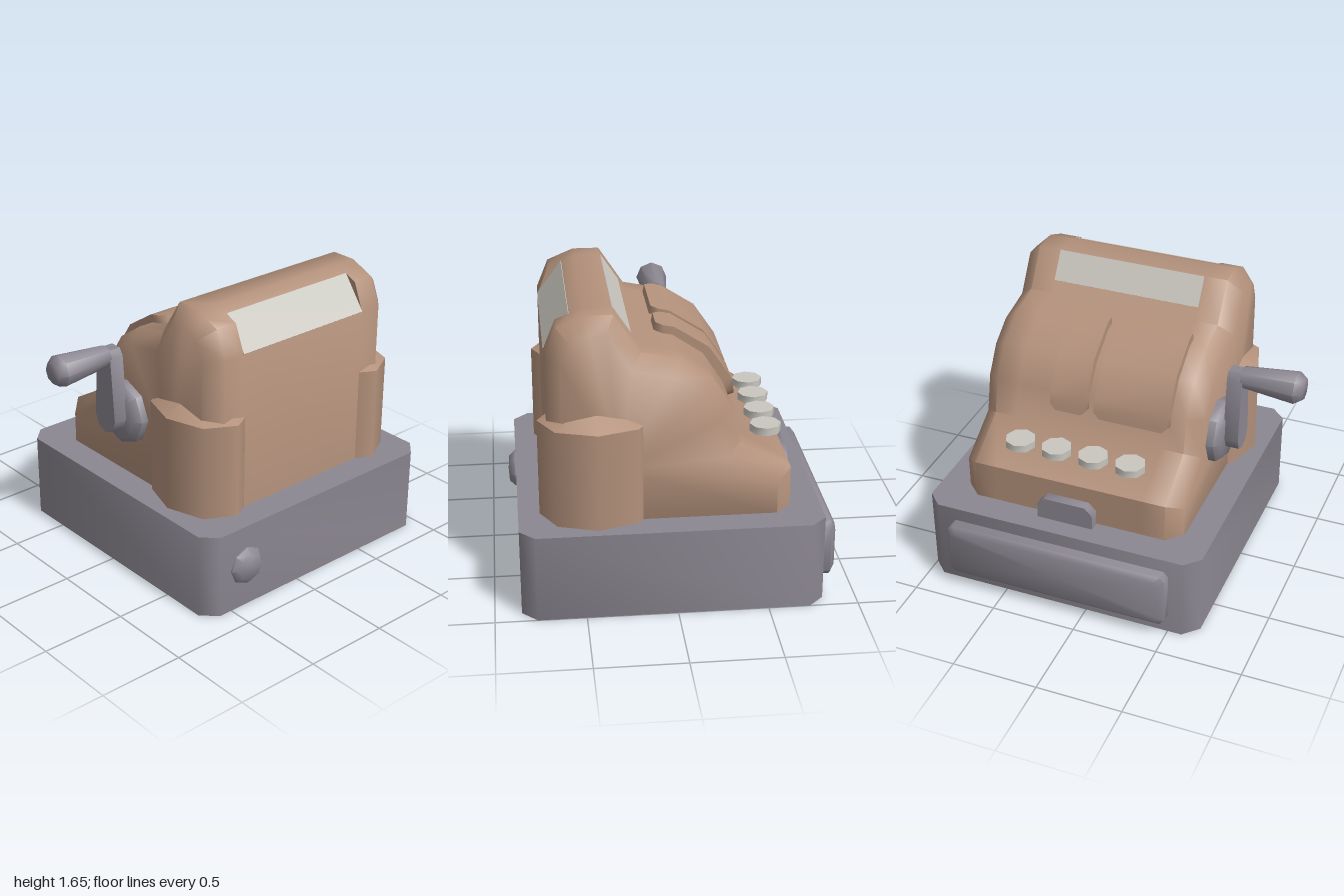
import * as THREE from 'three';
import { toCreasedNormals } from 'three/addons/utils/BufferGeometryUtils.js';

const CREASE = 1.0;

// Skin through equal-length rings of [x, y, z], closed by fans at both ends.
function loft(rings, hub) {
  const V = rings.map(r => r.map(p => new THREE.Vector3(...p)));
  const n = V[0].length;
  let tris = [];
  for (let i = 0; i < V.length - 1; i++) {
    for (let j = 0; j < n; j++) {
      const k = (j + 1) % n;
      tris.push([V[i][j], V[i][k], V[i + 1][k]], [V[i][j], V[i + 1][k], V[i + 1][j]]);
    }
  }
  [V[0], V[V.length - 1]].forEach((ring, end) => {
    const c = new THREE.Vector3();
    ring.forEach(p => c.addScaledVector(p, 1 / n));
    if (hub) c.set(hub[0], hub[1], c.z);
    ring.forEach((p, j) => {
      const q = ring[(j + 1) % n];
      tris.push(end ? [c, p, q] : [c, q, p]);
    });
  });
  // drop empty faces, then turn everything outward
  const t = new THREE.Triangle();
  tris = tris.filter(f => t.set(...f).getArea() > 1e-8);
  const volume = tris.reduce((s, [a, b, c]) => s + a.dot(b.clone().cross(c)), 0);
  if (volume < 0) tris.forEach(f => f.reverse());
  const geo = new THREE.BufferGeometry().setFromPoints(tris.flat());
  return toCreasedNormals(geo, CREASE);
}

// Eight-sided turned part, its axis along y.
function turned(points) {
  return toCreasedNormals(
    new THREE.LatheGeometry(points.map(p => new THREE.Vector2(...p)), 8), CREASE);
}

// Rectangle outline with cut corners.
function cutRect(a0, a1, b0, b1, c) {
  return [[a0 + c, b0], [a1 - c, b0], [a1, b0 + c], [a1, b1 - c],
    [a1 - c, b1], [a0 + c, b1], [a0, b1 - c], [a0, b0 + c]];
}

// Move each corner of a clockwise outline inward with mitred joints.
function inset(outline, d) {
  const n = outline.length;
  const normal = (p, q) => new THREE.Vector2(q[1] - p[1], p[0] - q[0]).normalize();
  return outline.map((p, i) => {
    const n1 = normal(outline[(i + n - 1) % n], p);
    const n2 = normal(p, outline[(i + 1) % n]);
    const m = n1.clone().add(n2).multiplyScalar(d / (1 + n1.dot(n2)));
    return [p[0] + m.x, p[1] + m.y];
  });
}

export function createModel() {
  const model = new THREE.Group();
  const tan = new THREE.MeshStandardMaterial({ color: 0xb3917b });
  tan.name = 'tan casing';
  const grey = new THREE.MeshStandardMaterial({ color: 0x8c8791 });
  grey.name = 'grey metal';
  const pale = new THREE.MeshStandardMaterial({ color: 0xc9c7bf });
  pale.name = 'pale glass';

  function add(name, geo, mat, x = 0, y = 0, z = 0) {
    const mesh = new THREE.Mesh(geo, mat);
    mesh.name = name;
    mesh.position.set(x, y, z);
    model.add(mesh);
    return mesh;
  }

  // Base box with cut corners
  const plan = cutRect(-0.815, 0.853, -1, 0.667, 0.085);
  add('base', loft([0, 0.5].map(y => plan.map(([x, z]) => [x, y, z]))), grey);

  // Drawer front with a bevelled face
  const drawerRing = (x, d) =>
    cutRect(0.088 + d, 0.42 - d, -0.835 + d, 0.5 - d, 0.03).map(([y, z]) => [x, y, z]);
  add('drawer', loft([drawerRing(-0.8, 0), drawerRing(-0.872, 0), drawerRing(-0.897, 0.03)]), grey);

  // Lock on the back of the base
  add('lock', turned([[0, 0], [0.113, 0], [0.113, 0.022], [0.08, 0.055], [0, 0.06]])
    .rotateZ(-Math.PI / 2), grey, 0.838, 0.255, 0.392);

  // Casing: side profile with bevelled ends and a sloping recess at the back
  const profile = [[-0.645, 0.41], [-0.645, 0.73], [-0.36, 0.9], [-0.315, 1.1], [-0.2, 1.28],
    [-0.03, 1.395], [0.178, 1.437], [0.32, 1.653], [0.47, 1.653], [0.545, 1.622],
    [0.62, 1.59], [0.685, 1.43], [0.685, 0.41]];
  const recessed = profile.map((p, i) => (i === 10 ? [0.615, 1.526] : p));
  const narrow = inset(profile, 0.085);
  const slices = [[narrow, 0.5], [profile, 0.413], [profile, 0.28], [recessed, 0.28],
    [recessed, -0.612], [profile, -0.612], [profile, -0.745], [narrow, -0.833]];
  add('casing', loft(slices.map(([s, z]) => s.map(([x, y]) => [x, y, z])), [0.3, 0.8]), tan);

  // Glass panes lying on the front slope and in the back recess
  function pane(name, [x0, y0], [x1, y1]) {
    const length = Math.hypot(x1 - x0, y1 - y0);
    const mesh = add(name, new THREE.BoxGeometry(length, 0.008, 0.89), pale,
      (x0 + x1) / 2, (y0 + y1) / 2, -0.166);
    mesh.rotation.z = Math.atan2(y1 - y0, x1 - x0);
  }
  pane('frontWindow', [0.22, 1.501], [0.319, 1.651]);
  pane('backWindow', [0.545, 1.622], [0.685, 1.432]);

  // Side columns with low pointed tops
  for (const [name, z] of [['leftColumn', 0.355], ['rightColumn', -0.705]]) {
    const column = turned([[0, 0.45], [1, 0.45], [1, 1.055], [0, 1.205]]);
    // keep the rim crisp by splitting wall and top
    column.dispose();
    const wall = new THREE.CylinderGeometry(1, 1, 0.605, 8, 1, true);
    const top = new THREE.ConeGeometry(1, 0.15, 8, 1, true);
    add(name, wall, tan, 0.42, 0.7525, z).scale.set(0.315, 1, 0.24);
    add(name + 'Top', top, tan, 0.42, 1.13, z).scale.set(0.315, 1, 0.24);
  }

  // Curved covers over the dials, narrowed at both ends
  const path = [[-0.38, 1.02], [-0.374, 1.055], [-0.36, 1.13], [-0.235, 1.315],
    [-0.04, 1.44], [0.02, 1.452], [0.062, 1.46]];
  const under = [[-0.325, 1.003], [-0.317, 1.04], [-0.3, 1.11], [-0.195, 1.265],
    [-0.02, 1.385], [0.03, 1.405], [0.072, 1.412]];
  for (const [name, z0, z1] of [['narrowCover', -0.39, -0.17], ['wideCover', -0.122, 0.322]]) {
    const rings = path.map(([x, y], i) => {
      const d = i === 0 || i === path.length - 1 ? 0.035 : 0;
      const [u, v] = under[i];
      return [[x, y, z0 + d], [x, y, z1 - d], [u, v, z1 - d], [u, v, z0 + d]];
    });
    add(name, loft(rings), tan);
  }

  // Row of round keys
  [-0.502, -0.279, -0.056, 0.167].forEach((z, i) =>
    add('key' + (i + 1), toCreasedNormals(new THREE.CylinderGeometry(0.088, 0.088, 0.045, 8), CREASE),
      pale, -0.54, 0.872, z));

  // Drawer latch
  const latch = [[0.49, -0.335], [0.59, -0.335], [0.635, -0.29],
    [0.635, -0.045], [0.59, 0], [0.49, 0]];
  add('latch', loft([-0.705, -0.6].map(x => latch.map(([y, z]) => [x, y, z]))), grey);

  // Crank: hub, tapered arm and grip
  const toFront = Math.PI / 2;
  add('crankHub', turned([[0, 0], [0.19, 0], [0.19, 0.07], [0.15, 0.105], [0, 0.105]])
    .rotateX(toFront), grey, -0.047, 0.9, 0.473);
  const arm = [[0, 0.81], [0.062, 0.835], [0.088, 0.9], [0.06, 1.28], [0.035, 1.32],
    [-0.035, 1.32], [-0.06, 1.28], [-0.088, 0.9], [-0.062, 0.835]];
  add('crankArm', loft([0.57, 0.657].map(z => arm.map(([x, y]) => [x, y, z]))), grey, -0.047);
  add('crankGrip', turned([[0, 0], [0.062, 0], [0.094, 0.31], [0.062, 0.355], [0, 0.355]])
    .rotateX(toFront), grey, -0.047, 1.28, 0.645);

  return model;
}
